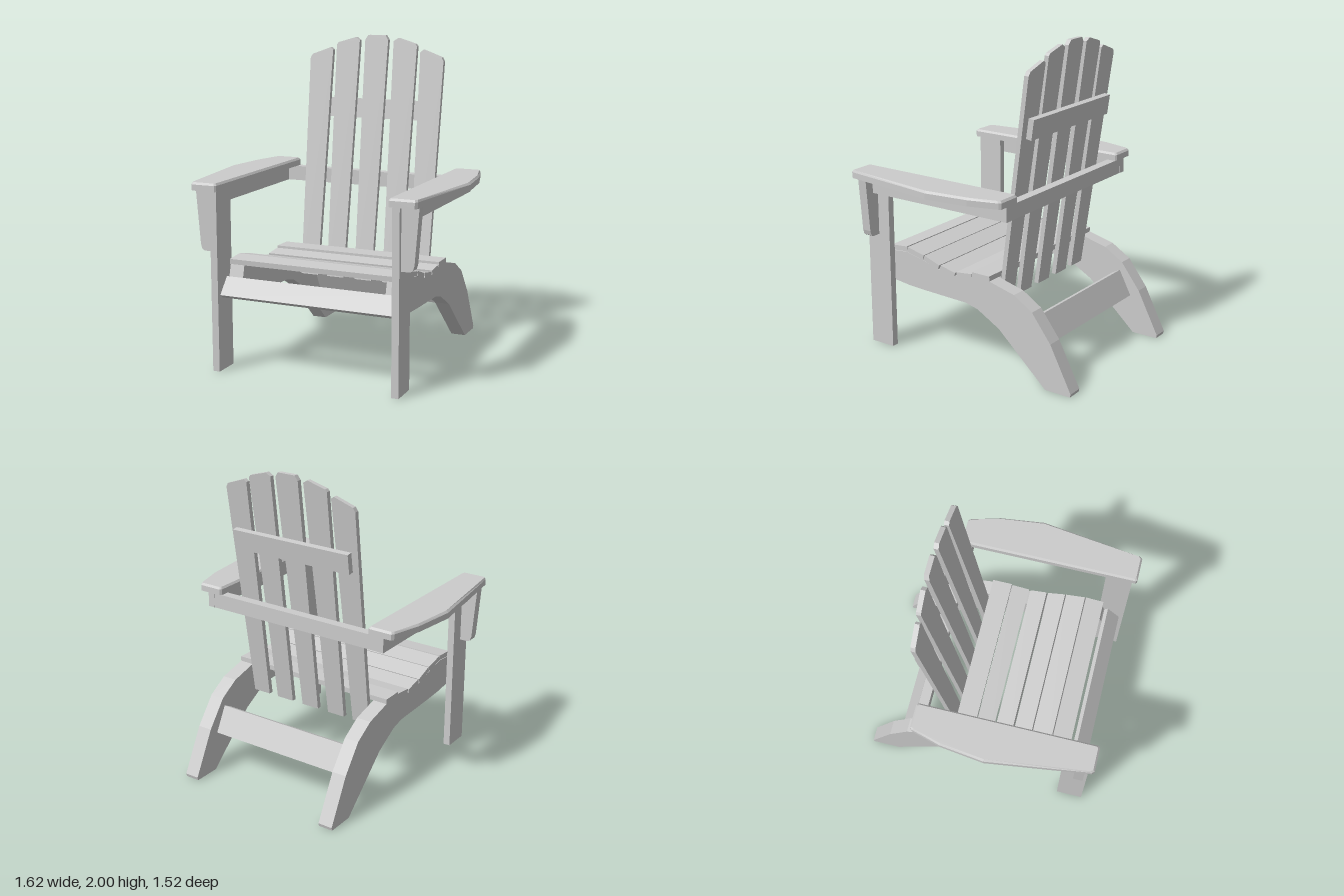
import * as THREE from 'three';

const material = new THREE.MeshStandardMaterial({ color: 0xcccccc, flatShading: true, side: THREE.DoubleSide });
const toShape = (pts) => new THREE.Shape(pts.map(([a, b]) => new THREE.Vector2(a, b)));
const extrude = (pts, depth, steps = 1) =>
  new THREE.ExtrudeGeometry(toShape(pts), { depth, steps, bevelEnabled: false });

export function createModel() {
  const chair = new THREE.Group();
  chair.name = 'gardenChair';

  const add = (name, geometry) => {
    const mesh = new THREE.Mesh(geometry, material);
    mesh.name = name;
    chair.add(mesh);
    return mesh;
  };
  // Board centred at x, y, z, tilted about the x axis
  const board = (name, w, h, d, x, y, z, tilt = 0) => {
    const mesh = add(name, new THREE.BoxGeometry(w, h, d));
    mesh.position.set(x, y, z);
    mesh.rotation.x = tilt;
    return mesh;
  };

  // Curved side rail ending in the back leg, as (z, y)
  const sideProfile = [
    [0.67, 0.455], [0.59, 0.565], [0.57, 0.64], [0.46, 0.65], [0.33, 0.622], [0.2, 0.585], [0.08, 0.572],
    [-0.05, 0.595], [-0.18, 0.595], [-0.22, 0.585], [-0.36, 0.55], [-0.49, 0.47], [-0.62, 0.3],
    [-0.765, 0.02], [-0.76, 0], [-0.585, 0], [-0.25, 0.305], [-0.09, 0.395], [0, 0.417],
    [0.3, 0.425], [0.45, 0.432], [0.56, 0.445],
  ];
  // Armrest outline as (x, z), and the bracket below it as (x, y)
  const armOutline = [[0.55, -0.37], [0.56, -0.38], [0.71, -0.38], [0.722, -0.365], [0.775, -0.18],
    [0.81, 0.1], [0.722, 0.745], [0.71, 0.76], [0.56, 0.76], [0.55, 0.75]];
  const bracketOutline = [[0.61, 0.745], [0.665, 0.745], [0.682, 0.755], [0.691, 0.785], [0.718, 1.12], [0.61, 1.12]];

  for (const s of [1, -1]) {
    const side = s > 0 ? 'left' : 'right';
    board(side + 'FrontLeg', 0.045, 1.12, 0.17, s * 0.5875, 0.56, 0.645);
    board(side + 'ArmRail', 0.045, 0.095, 1.02, s * 0.6325, 1.0725, 0.135);

    const rail = extrude(sideProfile, 0.095).rotateY(-Math.PI / 2).translate(s * 0.5175 + 0.0475, 0, 0);
    add(side + 'SideRail', rail);

    // Armrest with its top edge drawn in to form a chamfer
    const arm = extrude(armOutline.map(([x, z]) => [s * x, z]), 0.05, 2).rotateX(Math.PI / 2).translate(0, 1.17, 0);
    const p = arm.attributes.position;
    for (let i = 0; i < p.count; i++) {
      const y = p.getY(i);
      if (y > 1.165) {
        p.setX(i, s * 0.67 + (p.getX(i) - s * 0.67) * 0.91);
        p.setZ(i, 0.19 + (p.getZ(i) - 0.19) * 0.98);
      } else if (y > 1.13) p.setY(i, 1.157);
    }
    arm.computeVertexNormals();
    add(side + 'Armrest', arm);

    add(side + 'ArmBracket', extrude(bracketOutline.map(([x, y]) => [s * x, y]), 0.06).translate(0, 0, 0.645));
  }

  // Seat slats: top edges at front (z, y) and back (z, y)
  const slats = [
    [0.58, 0.675, 0.46, 0.685], [0.453, 0.683, 0.325, 0.655], [0.318, 0.655, 0.203, 0.615],
    [0.192, 0.617, 0.08, 0.592], [0.07, 0.6, -0.045, 0.612], [-0.05, 0.626, -0.18, 0.626],
  ];
  for (const [z1, y1, z0, y0] of slats) {
    const tilt = -Math.atan2(y1 - y0, z1 - z0);
    const slat = board('seatSlat', 1.13, 0.032, Math.hypot(z1 - z0, y1 - y0), 0, (y0 + y1) / 2, (z0 + z1) / 2, tilt);
    slat.translateY(-0.016);
  }
  board('frontSeatSlat', 1.13, 0.03, 0.13, 0, 0.517, 0.65, 0.87);

  // Back slats, tapered to the bottom and leaning back
  const lean = 0.143;
  const shear = new THREE.Matrix4().set(1, 0, 0, 0, 0, 1, 0, 0, 0, -lean, 1, 0, 0, 0, 0, 1);
  const tops = [
    [0, [[0.08, 1.97], [0.06, 2], [-0.06, 2], [-0.08, 1.97]]],
    [0.198, [[0.082, 1.935], [0.07, 1.95], [-0.05, 1.985], [-0.08, 1.965]]],
    [0.385, [[0.08, 1.845], [0.066, 1.87], [-0.06, 1.915], [-0.08, 1.9]]],
  ];
  for (const [cx, top] of tops) {
    for (const s of cx ? [1, -1] : [1]) {
      const pts = [[-0.06, 0.425], [0.06, 0.425], ...top].map(([x, y]) => [s * (cx + x), y]);
      add('backSlat', extrude(pts, 0.03).translate(0, 0, -0.129).applyMatrix4(shear));
    }
  }

  // Cross members
  board('upperBackRail', 0.84, 0.126, 0.038, 0, 1.525, -0.372, -0.142);
  board('lowerBackRail', 1.22, 0.095, 0.06, 0, 1.0725, -0.343);
  board('rearStretcher', 0.94, 0.18, 0.06, 0, 0.32, -0.49, 0.48);

  return chair;
}
